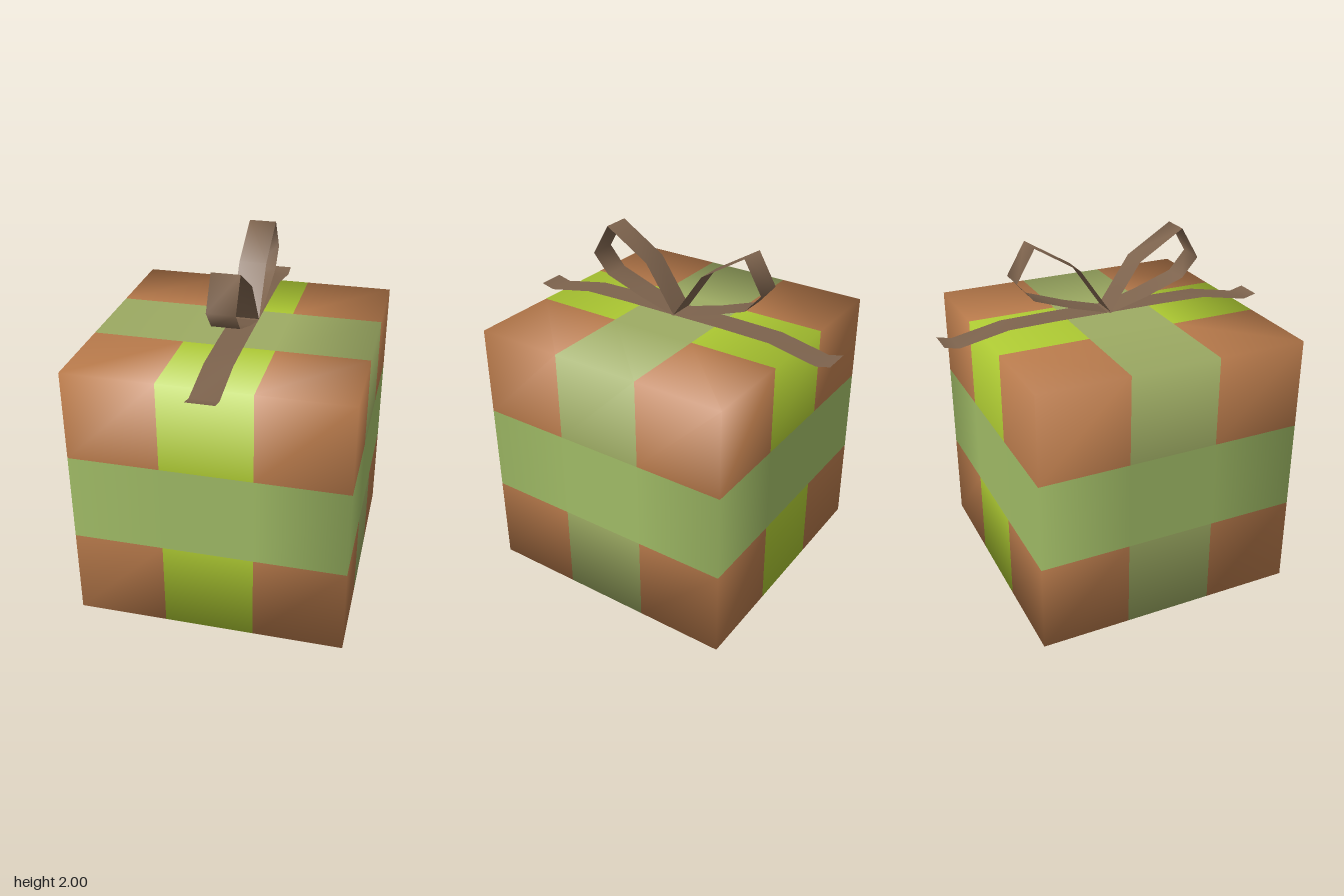
import * as THREE from 'three';
import { mergeVertices } from 'three/addons/utils/BufferGeometryUtils.js';

function mat(name, color, side = THREE.FrontSide) {
  const m = new THREE.MeshStandardMaterial({ color, side });
  m.name = name;
  return m;
}

// Flat ribbon of constant width following [z, y] points
function ribbon(name, points, material) {
  const g = new THREE.PlaneGeometry(0.155, 1, 1, points.length - 1);
  const p = g.attributes.position;
  points.forEach(([z, y], i) => {
    for (let k = 0; k < 2; k++) p.setXYZ(i * 2 + k, p.getX(i * 2 + k) + 0.024, y, z);
  });
  g.computeVertexNormals();
  const mesh = new THREE.Mesh(g, material);
  mesh.name = name;
  return mesh;
}

export function createModel() {
  const model = new THREE.Group();
  model.name = 'giftBox';

  const paper = mat('paperBrown', 0xb87a4b);
  const lime = mat('bandLime', 0xacc832);
  const olive = mat('bandOlive', 0x9dab63);
  const green = mat('bandGreen', 0x9fba65);
  const bowBrown = mat('bowBrown', 0x7d634d, THREE.DoubleSide);

  // Box: three cells per side, one shared set of smooth normals
  const size = 1.53;
  let g = new THREE.BoxGeometry(size, size, size, 3, 3, 3);
  g.deleteAttribute('normal');
  g.deleteAttribute('uv');
  g = mergeVertices(g);
  g.computeVertexNormals();

  // Wrapping bands: the horizontal one lies over the olive one, then the lime one
  g.clearGroups();
  const p = g.attributes.position;
  const inBand = (v) => Math.abs(v) < size / 6;
  for (let i = 0; i < g.index.count; i += 6) {
    const c = new THREE.Vector3();
    for (let k = 0; k < 6; k++) {
      c.add(new THREE.Vector3().fromBufferAttribute(p, g.index.getX(i + k)));
    }
    c.divideScalar(6);
    g.addGroup(i, 6, inBand(c.y) ? 3 : inBand(c.z) ? 2 : inBand(c.x) ? 1 : 0);
  }
  const box = new THREE.Mesh(g, [paper, lime, olive, green]);
  box.name = 'wrappedBox';
  box.position.set(0, size / 2, 0.035);
  model.add(box);

  // Bow: a loop and a tail on each side of the knot
  const loop = [[0, 1.575], [0.18, 1.84], [0.44, 2.0], [0.545, 1.82], [0.45, 1.71], [0.22, 1.63], [0, 1.57]];
  const tail = [[0, 1.575], [0.32, 1.575], [0.6, 1.57], [0.88, 1.515], [0.96, 1.535]];
  const bow = new THREE.Group();
  bow.name = 'bow';
  for (const [side, s] of [['front', 1], ['back', -1]]) {
    const mirrored = (pts) => pts.map(([z, y]) => [z * s, y]);
    bow.add(ribbon(side + 'Loop', mirrored(loop), bowBrown));
    bow.add(ribbon(side + 'Tail', mirrored(tail), bowBrown));
  }
  model.add(bow);

  return model;
}
